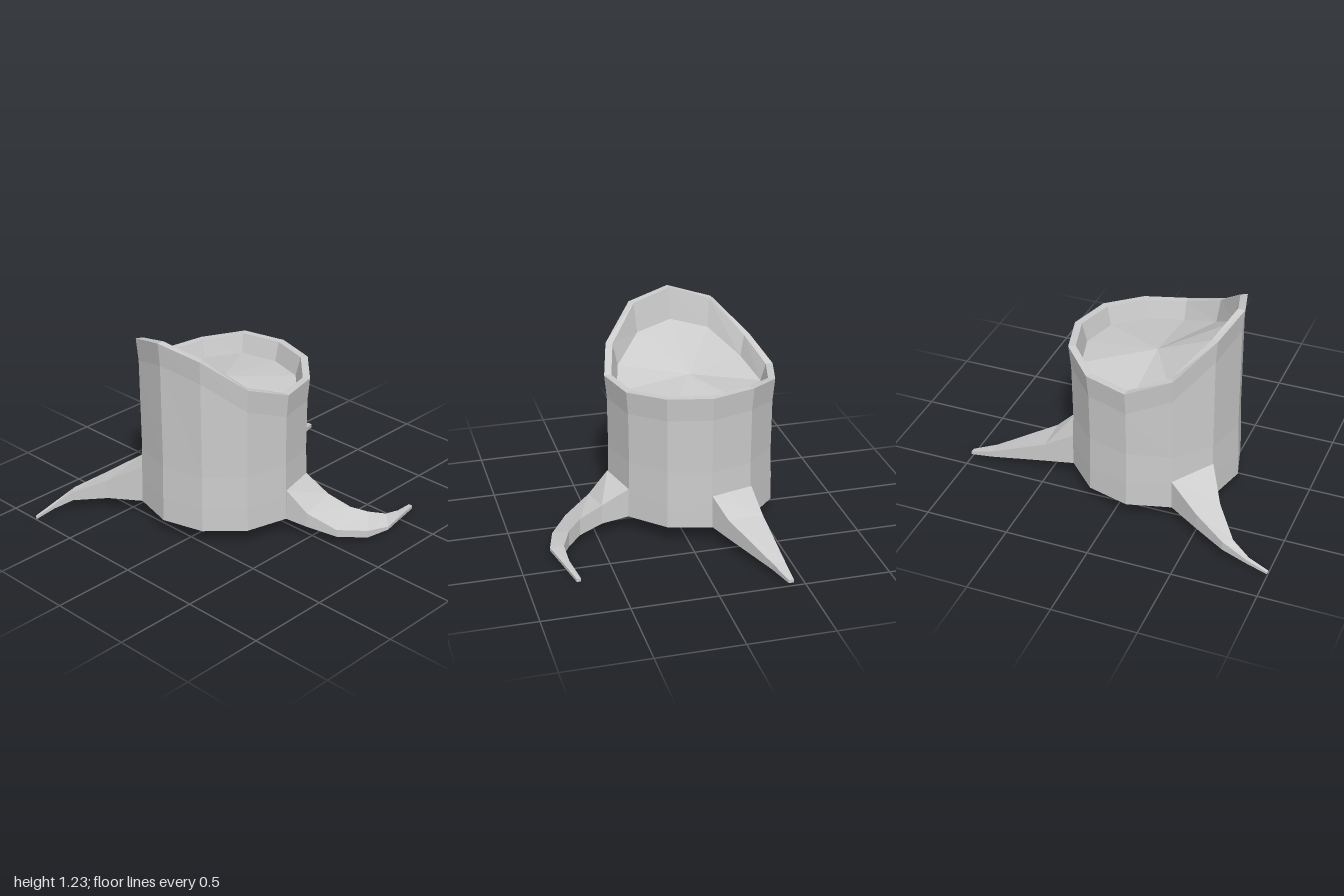
import * as THREE from 'three';

const SIDES = 12, CX = -0.13, CZ = 0.09;

// Joins equal-sized rings of points into a closed, faceted skin with a fan at each end.
function loft(rings, name) {
  const pos = [];
  const tri = (...pts) => pts.forEach((p) => pos.push(p.x, p.y, p.z));
  const centre = (ring) =>
    ring.reduce((sum, p) => sum.add(p), new THREE.Vector3()).divideScalar(ring.length);
  const n = rings[0].length;
  const first = rings[0], last = rings[rings.length - 1];
  const c0 = centre(first), c1 = centre(last);
  for (let i = 0; i < n; i++) {
    const j = (i + 1) % n;
    for (let s = 0; s < rings.length - 1; s++) {
      const a = rings[s], b = rings[s + 1];
      tri(a[i], a[j], b[i]);
      tri(a[j], b[j], b[i]);
    }
    tri(first[j], first[i], c0);
    tri(last[i], last[j], c1);
  }
  const geometry = new THREE.BufferGeometry();
  geometry.setAttribute('position', new THREE.Float32BufferAttribute(pos, 3));
  geometry.computeVertexNormals();
  const material = new THREE.MeshStandardMaterial({ color: 0xcccccc, flatShading: true });
  const mesh = new THREE.Mesh(geometry, material);
  mesh.name = name;
  return mesh;
}

// Rim height at each corner, starting at the front and turning towards +x.
const RIM = [1.23, 1.175, 1.0, 0.905, 0.9, 0.915, 0.92, 0.925, 0.885, 0.87, 0.97, 1.16];

function trunkRing(radius, height) {
  return RIM.map((rim, i) => {
    const a = (i / SIDES) * Math.PI * 2;
    return new THREE.Vector3(CX + radius * Math.sin(a), height(rim), CZ + radius * Math.cos(a));
  });
}

// Hollow trunk: outer wall, slanted rim, inner wall and sunken floor.
function createTrunk() {
  return loft([
    trunkRing(0.505, () => 0.1),
    trunkRing(0.503, () => 0.25),
    trunkRing(0.497, () => 0.45),
    trunkRing(0.5, (rim) => rim - 0.14),
    trunkRing(0.513, (rim) => rim),
    trunkRing(0.47, (rim) => rim),
    trunkRing(0.44, (rim) => 0.79 + (rim - 0.9) * 0.75),
  ], 'trunk');
}

// Root stations: right x, z, left x, z, top height right, top height left, bottom height.
const ROOTS = {
  frontRoot: [
    [-0.565, 0.34, -0.38, 0.525, 0.28, 0.33, 0.1],
    [-0.68, 0.53, -0.57, 0.635, 0.19, 0.21, 0.09],
    [-0.775, 0.72, -0.735, 0.77, 0.12, 0.12, 0.065],
    [-0.803, 0.87, -0.78, 0.88, 0.06, 0.06, 0.035],
    [-0.815, 0.995, -0.8, 1.0, 0.02, 0.02, 0.005],
  ],
  backRoot: [
    [-0.13, -0.41, -0.385, -0.345, 0.3, 0.3, 0.1],
    [-0.19, -0.53, -0.4, -0.52, 0.2, 0.2, 0.08],
    [-0.35, -0.86, -0.425, -0.86, 0.075, 0.075, 0.035],
    [-0.4, -1.0, -0.43, -1.0, 0.04, 0.04, 0.02],
  ],
  sideRoot: [
    [0.375, 0.09, 0.305, -0.16, 0.29, 0.28, 0.1],
    [0.5, 0.05, 0.47, -0.17, 0.17, 0.2, 0.08],
    [0.66, -0.03, 0.61, -0.21, 0.09, 0.15, 0.045],
    [0.77, -0.18, 0.69, -0.28, 0.065, 0.12, 0.02],
    [0.81, -0.32, 0.74, -0.38, 0.05, 0.085, 0.03],
    [0.775, -0.46, 0.735, -0.5, 0.04, 0.055, 0.02],
    [0.725, -0.65, 0.7, -0.65, 0.02, 0.02, 0],
  ],
};

function createRoot(name, stations) {
  const rings = stations.map(([rx, rz, lx, lz, topR, topL, bottom]) => [
    new THREE.Vector3(rx, topR, rz),
    new THREE.Vector3(rx, bottom, rz),
    new THREE.Vector3(lx, bottom, lz),
    new THREE.Vector3(lx, topL, lz),
  ]);
  return loft(rings, name);
}

export function createModel() {
  const stump = new THREE.Group();
  stump.name = 'treeStump';
  stump.add(createTrunk());
  for (const [name, stations] of Object.entries(ROOTS)) stump.add(createRoot(name, stations));
  return stump;
}
